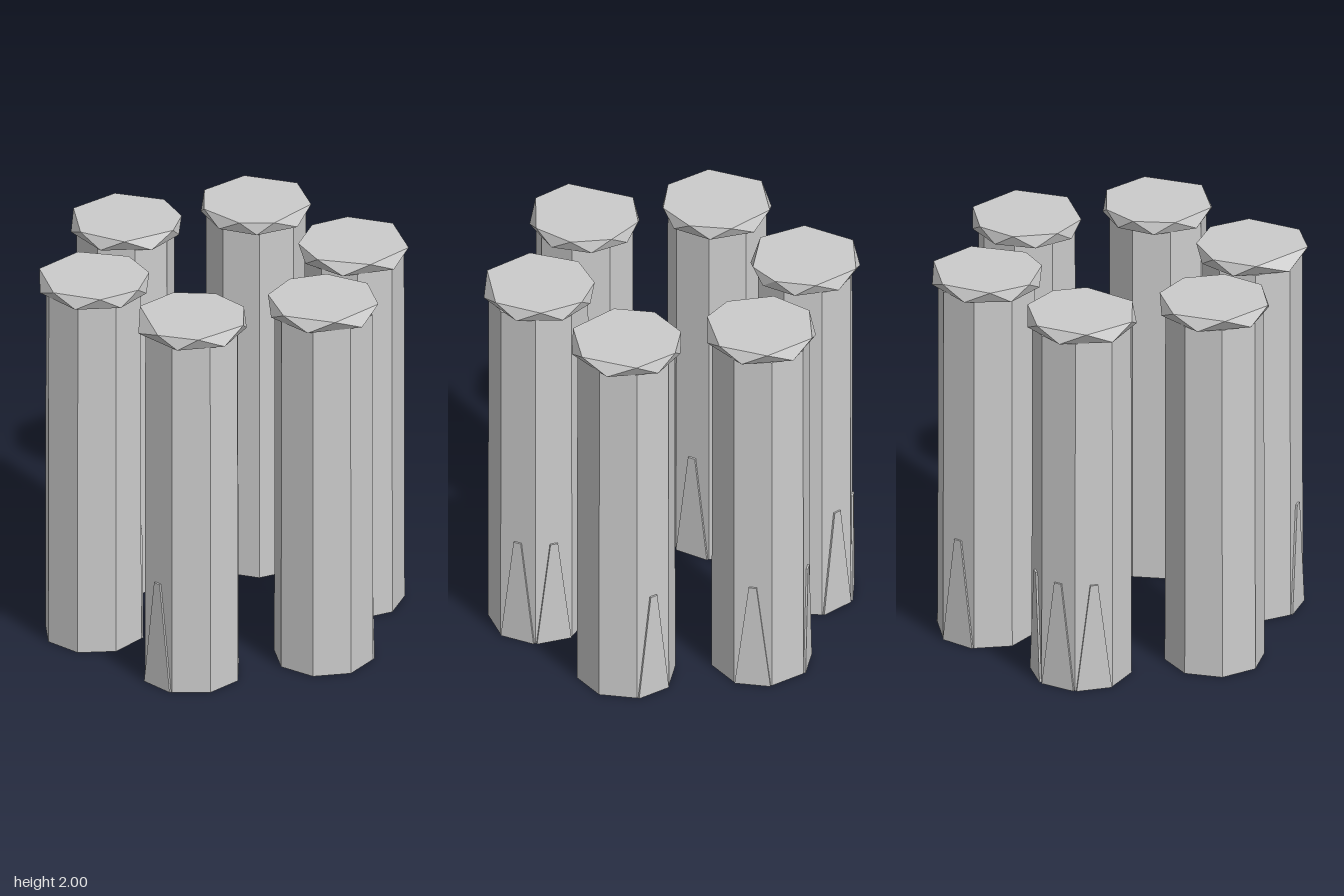
import * as THREE from 'three';

const CAP_Y = 1.935, TOP_Y = 2, BODY_R = 0.255, CAP_R = 0.284;
const rad = THREE.MathUtils.degToRad;

// Each column: centre, facet phase, cap corner angles, and the facets carrying a shard
// (angles in degrees, from +x towards +z)
const COLUMNS = [
  { at: [0, 0.68], phase: 14, cap: [-124, -80, -40, 8, 60, 125, 182], shards: [0, -1] },
  { at: [0.59, 0.34], phase: -2, cap: [-139, -92, -50, 0, 62, 120, 178], shards: [-1] },
  { at: [0.6, -0.35], phase: -2, cap: [-110, -55, 4, 58, 118, 154, 204], shards: [0, -2] },
  { at: [0, -0.69], phase: 36, cap: [-111, -54, 0, 43, 79, 138, 190], shards: [-2, -3, -4] },
  { at: [-0.6, -0.35], phase: 20, cap: [-117, -59, -4, 40, 84, 130, 182], shards: [0] },
  { at: [-0.6, 0.33], phase: 25, cap: [-110, -62, -18, 25, 70, 130, 174], shards: [-1, 3] },
];

// Zigzag cap: the lower corners sit halfway between the upper ones
function capGeometry(angles) {
  const n = angles.length, pos = [];
  const point = (deg, r, y) => [r * Math.cos(rad(deg)), y, r * Math.sin(rad(deg))];
  const top = angles.map((a) => point(a, CAP_R, TOP_Y));
  const low = angles.map((a, i) => {
    const next = i < n - 1 ? angles[i + 1] : angles[0] + 360;
    return point((a + next) / 2, CAP_R - 0.006, CAP_Y);
  });
  for (let i = 0; i < n; i++) {
    const j = (i + 1) % n;
    pos.push(...top[i], ...top[j], ...low[i]);
    pos.push(...low[i], ...top[j], ...low[j]);
    pos.push(0, TOP_Y, 0, ...top[j], ...top[i]);
    pos.push(0, CAP_Y, 0, ...low[i], ...low[j]);
  }
  const geo = new THREE.BufferGeometry();
  geo.setAttribute('position', new THREE.Float32BufferAttribute(pos, 3));
  geo.computeVertexNormals();
  return geo;
}

// Thin tapered shard lying on a facet at the foot of a column
function shardGeometry() {
  const shape = new THREE.Shape([
    new THREE.Vector2(-0.092, 0), new THREE.Vector2(0.092, 0),
    new THREE.Vector2(0.02, 0.58), new THREE.Vector2(-0.02, 0.58),
  ]);
  return new THREE.ExtrudeGeometry(shape, { depth: 0.01, bevelEnabled: false });
}

export function createModel() {
  const model = new THREE.Group();
  model.name = 'columnRing';
  const material = new THREE.MeshStandardMaterial({
    color: 0xcccccc, flatShading: true, side: THREE.DoubleSide,
  });
  const bodyGeo = new THREE.CylinderGeometry(BODY_R - 0.003, BODY_R, CAP_Y, 8, 1, true);
  bodyGeo.translate(0, CAP_Y / 2, 0);
  const shardGeo = shardGeometry();
  const apothem = BODY_R * Math.cos(Math.PI / 8);

  COLUMNS.forEach(({ at, phase, cap, shards }) => {
    const column = new THREE.Group();
    column.name = 'column';
    column.position.set(at[0], 0, at[1]);

    // Eight-sided shaft, open underneath
    const body = new THREE.Mesh(bodyGeo, material);
    body.name = 'shaft';
    body.rotation.y = -rad(phase);
    column.add(body);

    const capMesh = new THREE.Mesh(capGeometry(cap), material);
    capMesh.name = 'cap';
    column.add(capMesh);

    shards.forEach((k) => {
      const a = rad(phase + 22.5 + 45 * k);
      const shard = new THREE.Mesh(shardGeo, material);
      shard.name = 'shard';
      shard.position.set(apothem * Math.cos(a), 0, apothem * Math.sin(a));
      shard.rotation.y = Math.PI / 2 - a;
      column.add(shard);
    });
    model.add(column);
  });
  return model;
}
